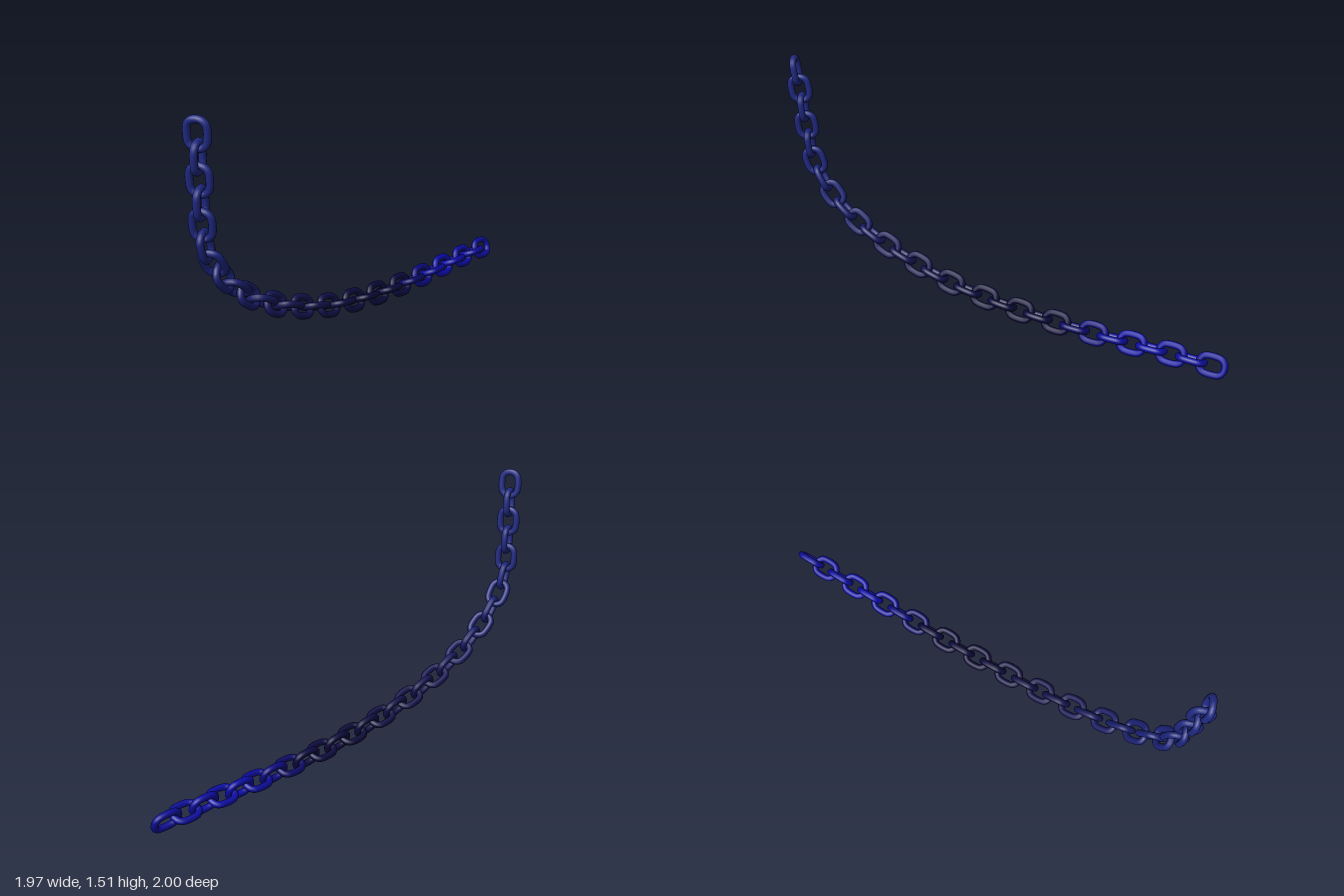
import * as THREE from 'three';

const LINKS = 30;
const HALF_LENGTH = 0.073, HALF_WIDTH = 0.051, CORNER = 0.046, TUBE = 0.02;
const ROLL = THREE.MathUtils.degToRad(22);

// One link: a tube swept round a rounded rectangle, long axis along x
function makeLinkGeometry() {
  const points = [];
  const corners = [[1, 1, 0], [-1, 1, 90], [-1, -1, 180], [1, -1, 270]];
  for (const [sx, sy, start] of corners) {
    for (let k = 0; k < 4; k++) {
      const a = THREE.MathUtils.degToRad(start + k * 30);
      points.push(new THREE.Vector3(
        sx * (HALF_LENGTH - CORNER) + CORNER * Math.cos(a),
        sy * (HALF_WIDTH - CORNER) + CORNER * Math.sin(a), 0));
    }
  }
  const path = new THREE.CatmullRomCurve3(points, true);
  return new THREE.TubeGeometry(path, 40, TUBE, 10, true);
}

// Centre line of the chain: hanging at one end, sweeping out to nearly level
const centreLine = new THREE.CatmullRomCurve3([
  [-0.917, 1.415, 0.945], [-0.917, 1.30, 0.93], [-0.915, 1.07, 0.908],
  [-0.903, 0.835, 0.875], [-0.825, 0.64, 0.795], [-0.70, 0.48, 0.67],
  [-0.56, 0.365, 0.53], [-0.41, 0.277, 0.38], [-0.25, 0.207, 0.225],
  [-0.085, 0.16, 0.062], [0.077, 0.127, -0.10], [0.243, 0.105, -0.265],
  [0.41, 0.092, -0.43], [0.577, 0.086, -0.597], [0.745, 0.08, -0.763],
  [0.91, 0.07, -0.925],
].map(p => new THREE.Vector3(...p)));

// Colour stops along the chain, by link number
const stops = [
  [0, 0x212b84], [6, 0x1b2378], [12, 0x131452], [18, 0x0a0838],
  [21, 0x0a0840], [25, 0x0a0aa6], [29, 0x0d0d96],
];
function linkColor(i) {
  let k = 0;
  while (k < stops.length - 2 && i > stops[k + 1][0]) k++;
  const [a, ca] = stops[k], [b, cb] = stops[k + 1];
  return new THREE.Color(ca).lerp(new THREE.Color(cb), (i - a) / (b - a));
}

export function createModel() {
  const chain = new THREE.Group();
  chain.name = 'chain';
  const geometry = makeLinkGeometry();

  for (let i = 0; i < LINKS; i++) {
    const u = i / (LINKS - 1);
    const along = centreLine.getTangentAt(u);
    // Sideways axis across the chain, rolled a little about its length
    const side = new THREE.Vector3(1, 0, 1);
    side.addScaledVector(along, -side.dot(along)).normalize();
    side.applyAxisAngle(along, -ROLL);
    const normal = new THREE.Vector3().crossVectors(along, side);

    // Every other link is turned a quarter about the chain
    const basis = i % 2 === 0
      ? new THREE.Matrix4().makeBasis(along, side, normal)
      : new THREE.Matrix4().makeBasis(along, normal, side.clone().negate());

    const link = new THREE.Mesh(geometry, new THREE.MeshStandardMaterial({ color: linkColor(i) }));
    link.name = `link${i + 1}`;
    link.quaternion.setFromRotationMatrix(basis);
    link.position.copy(centreLine.getPointAt(u));
    chain.add(link);
  }
  return chain;
}
